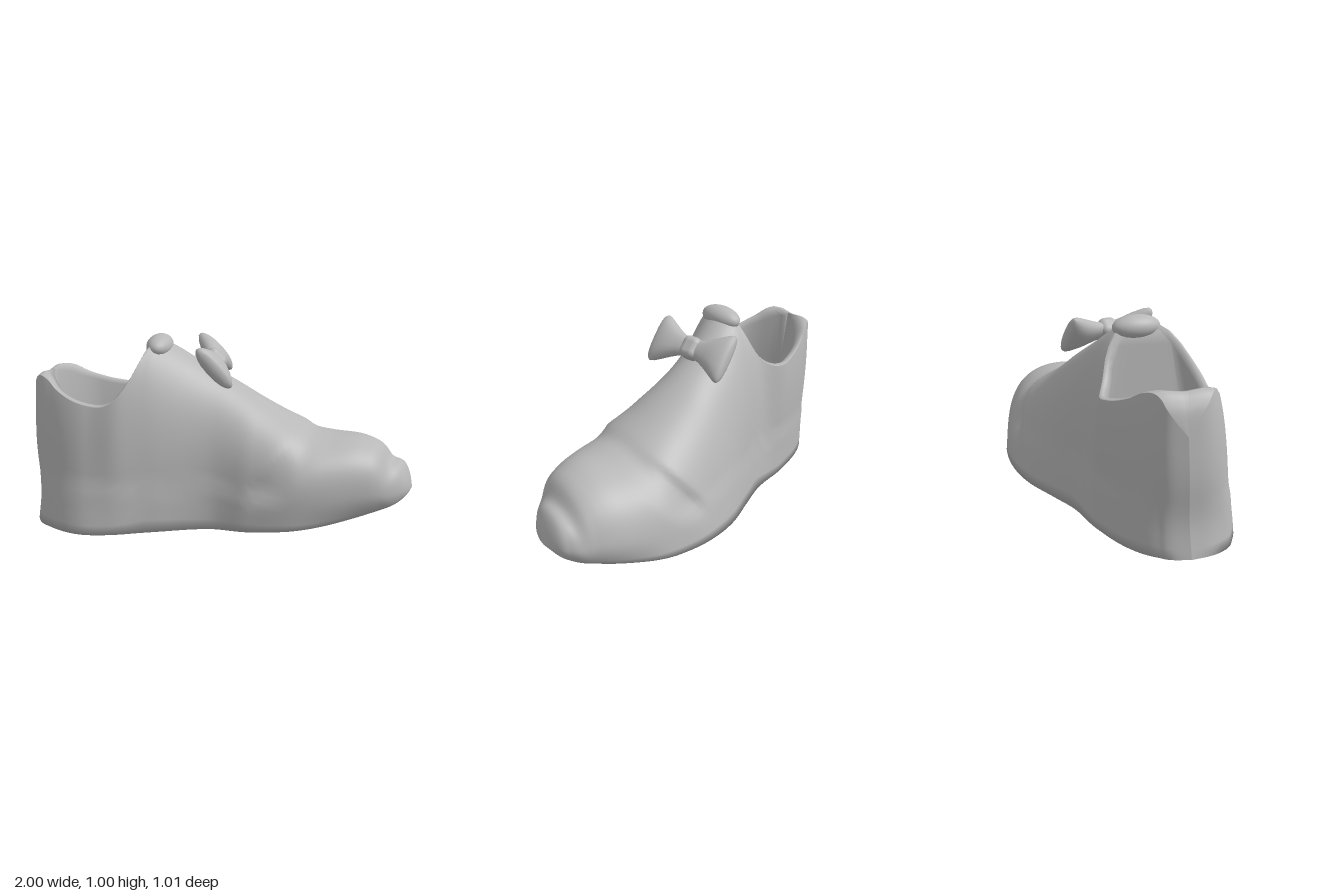
import * as THREE from 'three';
import { mergeVertices } from 'three/addons/utils/BufferGeometryUtils.js';
import { RoundedBoxGeometry } from 'three/addons/geometries/RoundedBoxGeometry.js';

// Smooth curve through [position, value] pairs
function curve(pairs) {
  const f = new THREE.CubicInterpolant(pairs.map(p => p[0]), pairs.map(p => p[1]), 1, new Float32Array(1));
  return x => f.evaluate(x)[0];
}
const step = THREE.MathUtils.smoothstep;

// Skin a list of closed loops (each an array of [x, y, z]) with smooth normals
function loft(loops) {
  const n = loops[0].length, index = [];
  for (let i = 0; i < loops.length - 1; i++) {
    for (let j = 0; j < n; j++) {
      const a = i * n + j, b = i * n + (j + 1) % n, c = a + n, d = b + n;
      index.push(a, c, b, b, c, d);
    }
  }
  const geo = new THREE.BufferGeometry();
  geo.setAttribute('position', new THREE.Float32BufferAttribute(loops.flat(2), 3));
  geo.setIndex(index);
  const welded = mergeVertices(geo, 1e-4);

  // drop the collapsed triangles at pinched ends
  const id = welded.index.array, keep = [];
  for (let k = 0; k < id.length; k += 3) {
    const [a, b, c] = [id[k], id[k + 1], id[k + 2]];
    if (a !== b && b !== c && a !== c) keep.push(a, b, c);
  }
  welded.setIndex(keep);
  welded.computeVertexNormals();
  return welded;
}

// Plan outline of the sole, both edges
const outerEdge = curve([[-1, .2], [-.985, .28], [-.95, .36], [-.83, .45], [-.65, .5], [-.5, .47], [-.3, .38],
  [0, .27], [.2, .28], [.4, .25], [.55, .2], [.7, .13], [.85, .04], [.95, -.05], [.985, -.12], [1, -.2]]);
const innerEdge = curve([[-1, .2], [-.985, .12], [-.95, .06], [-.85, -.04], [-.6, -.165], [-.35, -.24], [-.2, -.32],
  [0, -.43], [.2, -.49], [.4, -.505], [.6, -.49], [.8, -.44], [.93, -.36], [.98, -.29], [1, -.2]]);
// Side profile: top ridge, underside and collar rim
const ridge = curve([[-1, 1.02], [-.4, 1.02], [-.33, 1], [-.25, .95], [-.15, .88], [.05, .76], [.3, .61], [.42, .545],
  [.46, .52], [.55, .5], [.75, .477], [.84, .43], [.88, .37], [.95, .33], [.98, .27], [1, .2]]);
const underside = curve([[-1, .01], [-.3, .015], [0, .025], [.4, .05], [.6, .07], [.8, .11], [.95, .16], [1, .2]]);
const collar = curve([[-1, .62], [-.985, .71], [-.965, .76], [-.93, .8], [-.87, .795], [-.8, .75], [-.65, .695],
  [-.52, .69], [-.45, .74], [-.4, .82], [-.36, .92], [-.33, 1]]);

// One cross-section of the shoe at station x
function section(x) {
  const top = ridge(x), low = underside(x), rim = x < -.33 ? Math.min(collar(x), top) : top;
  const centre = (outerEdge(x) + innerEdge(x)) / 2;
  const half = Math.max(0, (outerEdge(x) - innerEdge(x)) / 2);
  const open = x > -.9 && x < -.385;
  const power = 4 - .9 * step(x, -.65, -.4) - .7 * step(x, -.35, 0) + 1.2 * step(x, .22, .48);
  const span = Math.max(top - low, 1e-4), sRim = (rim - low) / span;
  const lean = (-.06 + .09 * step(x, -.62, -.42) + .03 * step(x, -.25, .05)) * (1 - step(x, .8, 1));

  // half-width at height s: sole ledge, slanting vamp seam, upturned toe
  const width = s => {
    const y = low + s * span;
    const fore = step(x, .1, .35);
    const ledge = 1 - .04 * step(y, 0, .23) * (1 - fore) - .035 * step(y, .23, .28) * (1 - fore);
    const seam = .2 + .77 * (y - .24);
    const notch = 1 - .08 * step(x, seam - .02, seam + .05) * (1 - step(x, seam + .06, seam + .26)) * step(y, .18, .28);
    const toe = 1 - .18 * step(x, .4, .85) * Math.max(0, 1 - s / .35) ** 2;
    return half * ledge * notch * toe * Math.sqrt(Math.max(0, 1 - s ** power));
  };
  const side = [[half * .4, low, 0]];
  for (let k = 0; k <= 22; k++) {
    const s = sRim * Math.sin(k / 22 * Math.PI / 2);
    side.push([width(s), low + s * span, s]);
  }
  // rolled collar, then lining parallel to the wall and the insole where open
  const w = width(sRim);
  const round = Math.sqrt(Math.max(.02, 1 - Math.max(0, (-.72 - x) / .18) ** 2));
  const inside = Math.max(w - .045, w * .45) * round;
  side.push([w * .6 + inside * .4, rim + (w > .02 ? .008 : 0), sRim], [inside, rim - (open ? .015 : 0), sRim]);
  for (const [y, share] of [[.5, 1], [.3, .95], [.25, .8], [.24, .4]]) {
    const s = (y - low) / span;
    side.push(open ? [Math.max(width(s) - .05, 0) * share * round, y, s] : [inside * share, rim, sRim]);
  }

  const place = sign => ([wz, y, s]) => {
    const tuck = .03 * (1 - step(x, -1, -.85)) * Math.exp(-(((y - .18) / .17) ** 2));
    return [x + tuck, y, centre + lean * s + sign * wz];
  };
  const middle = place(0);
  return [
    middle([0, low, 0]), ...side.map(place(1)),
    middle([0, open ? .24 : rim, open ? (.24 - low) / span : sRim]), ...side.map(place(-1)).reverse(),
  ];
}

// Half of the bow: flared, pillowed and closed at its end
function bowLobe() {
  const height = curve([[0, .045], [.3, .062], [.65, .105], [.85, .13], [.94, .125], [.98, .095], [1, 0]]);
  const thick = curve([[0, .03], [.3, .04], [.65, .052], [.85, .046], [.94, .036], [.98, .022], [1, 0]]);
  const loops = [0, .15, .3, .45, .6, .72, .82, .9, .95, .98, 1].map(t =>
    Array.from({ length: 20 }, (_, j) => {
      const a = j / 20 * Math.PI * 2, c = Math.cos(a), s = Math.sin(a);
      return [t * .238, -height(t) * Math.sign(c) * Math.abs(c) ** .8, thick(t) * s];
    }));
  return loft(loops);
}

export function createModel() {
  const model = new THREE.Group();
  model.name = 'shoe';
  const grey = new THREE.MeshStandardMaterial({ color: 0xb8b8b8 });
  grey.name = 'plain grey';
  const add = (parent, name, geo) => {
    const mesh = new THREE.Mesh(geo, grey);
    mesh.name = name;
    parent.add(mesh);
    return mesh;
  };

  // Body: sole, upper, collar and lining as one skin, denser at heel and toe
  const N = 130;
  const stations = Array.from({ length: N + 1 }, (_, i) => -Math.cos(Math.PI * i / N));
  add(model, 'shoeBody', loft(stations.map(section)));

  // Rounded tab at the top of the tongue
  const tab = add(model, 'tongueTab', new THREE.SphereGeometry(1, 24, 16));
  tab.scale.set(.068, .06, .125);
  tab.rotation.y = .12;
  tab.position.set(-.322, .955, .087);

  // Bow on the instep, tilted back with the slope
  const bow = new THREE.Group();
  bow.name = 'bow';
  const along = new THREE.Vector3(.28, .02, 1).normalize();
  const up = new THREE.Vector3(-.62, .75, .21);
  up.addScaledVector(along, -up.dot(along)).normalize();
  bow.quaternion.setFromRotationMatrix(
    new THREE.Matrix4().makeBasis(along, up, along.clone().cross(up)));
  bow.position.set(-.05, .875, -.005);
  add(bow, 'bowLobeLeft', bowLobe());
  add(bow, 'bowLobeRight', bowLobe()).rotation.y = Math.PI;
  add(bow, 'bowKnot', new RoundedBoxGeometry(.1, .12, .1, 4, .035));
  model.add(bow);

  return model;
}
